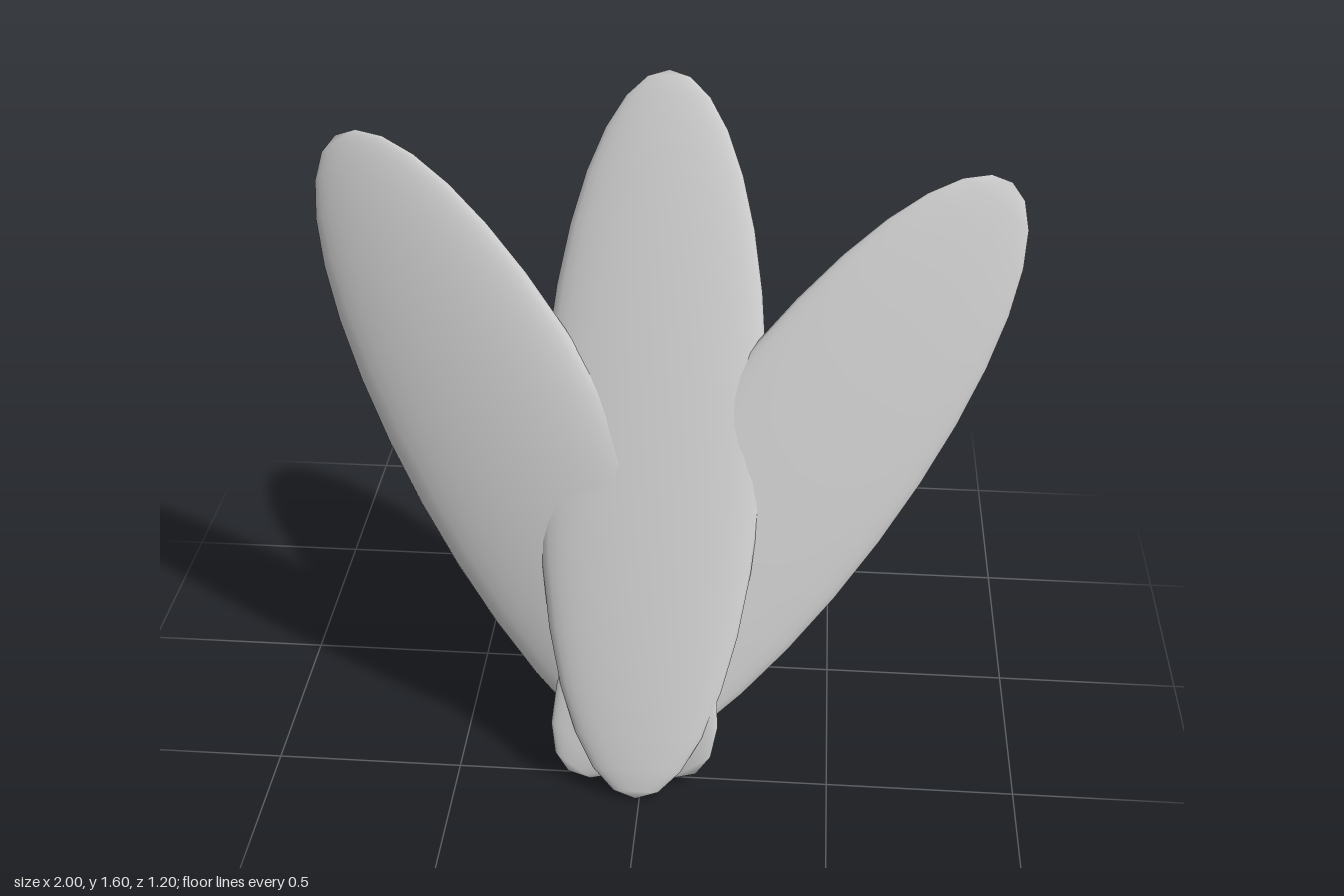
import * as THREE from 'three';

const deg = THREE.MathUtils.degToRad;

export function createModel() {
  const model = new THREE.Group();
  model.name = 'petalFan';

  // All petals share one plane that leans backwards
  const fan = new THREE.Group();
  fan.name = 'leaningFan';
  fan.rotation.x = deg(-36.8);
  model.add(fan);

  const material = new THREE.MeshStandardMaterial({ color: 0xcccccc });
  const unitSphere = new THREE.SphereGeometry(1, 32, 16);

  // A petal is a long flat ellipsoid: swing spreads it sideways, roll turns it about its length
  function addPetal(name, position, halfLength, swing, roll) {
    const petal = new THREE.Mesh(unitSphere, material);
    petal.name = name;
    petal.position.set(...position);
    petal.scale.set(0.307, halfLength, 0.056);
    petal.rotation.set(0, deg(roll), deg(swing), 'ZYX');
    fan.add(petal);
  }

  addPetal('centerPetal', [-0.01, 0.645, 0.483], 1.0, 0, 0);
  addPetal('leftPetal', [0.375, 0.537, 0.434], 1.01, -34.6, 13);
  addPetal('rightPetal', [-0.4, 0.577, 0.45], 1.02, 32.4, -13);

  return model;
}
